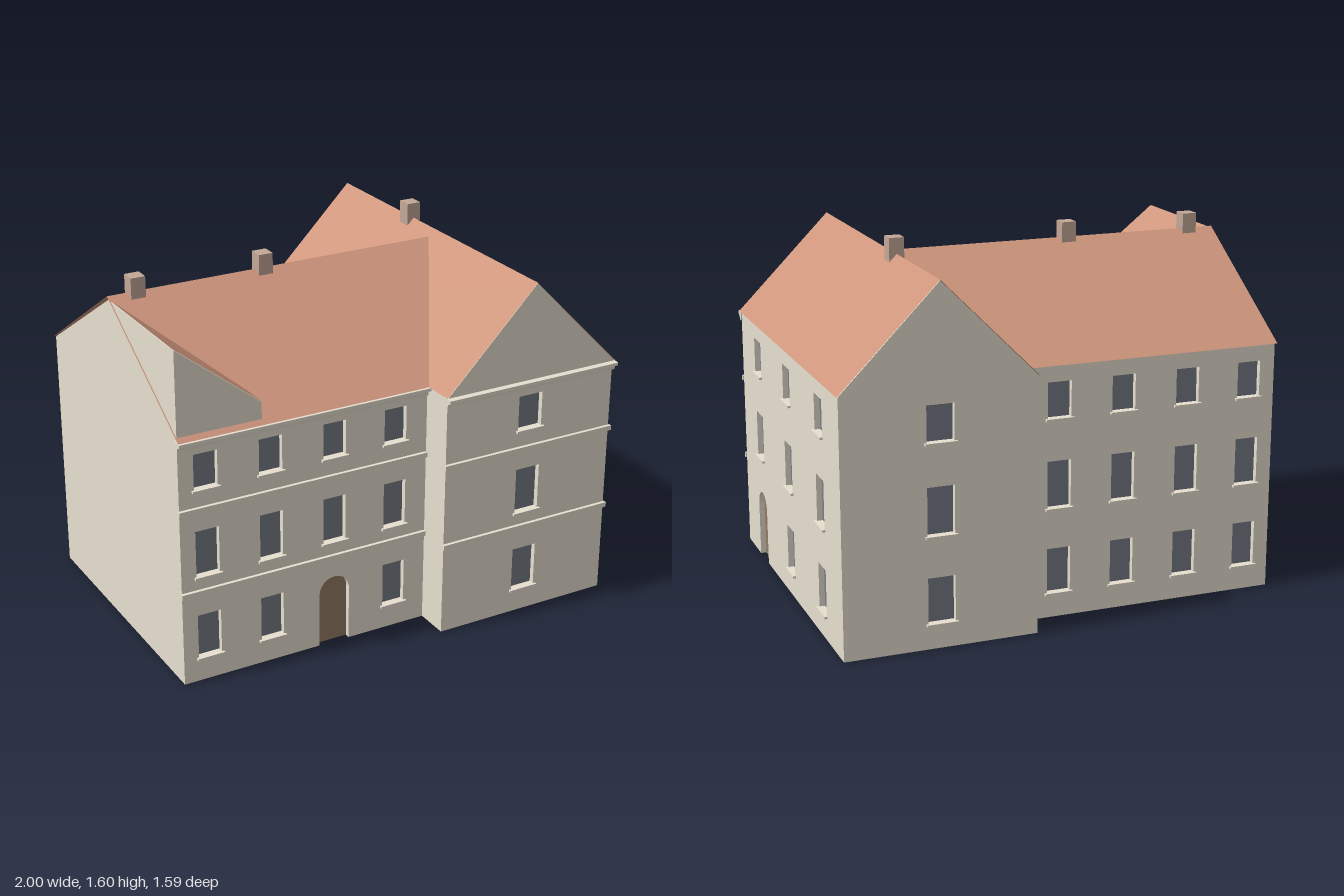
import * as THREE from 'three';

const mat = (name, color, side = THREE.FrontSide) => {
  const m = new THREE.MeshStandardMaterial({ color, side });
  m.name = name;
  return m;
};
const shapeOf = (points) => new THREE.Shape(points.map(([x, y]) => new THREE.Vector2(x, y)));
const extrude = (shape, depth) =>
  new THREE.ExtrudeGeometry(shape, { depth, bevelEnabled: false, curveSegments: 16 });

const T = 0.03; // wall thickness, also the depth of the window and door recesses
const BASE = 0.002; // walls start just above the floor plate
const ROWS = [[0.112, 0.309], [0.488, 0.693], [0.878, 1.033]]; // window bottoms and tops
const SPRING = 0.248; // height where door arches begin
const DOOR = 0.142; // door width
const E = 1.105; // eaves height
const RIDGE_X = 0.5695; // ridge of the cross wing

export function createModel() {
  const model = new THREE.Group();
  model.name = 'house';
  const plaster = mat('plaster', 0xe7e0d0);
  const tiles = mat('roofTiles', 0xce967c, THREE.DoubleSide);
  const glass = mat('windowGlass', 0x767c86);
  const wood = mat('doorWood', 0x947d64);
  const brick = mat('chimneyBrick', 0xc4a898);
  const stone = mat('floorStone', 0xaaaaaa);

  const add = (parent, name, geometry, material, x = 0, y = 0, z = 0) => {
    const mesh = new THREE.Mesh(geometry, material);
    mesh.name = name;
    mesh.position.set(x, y, z);
    parent.add(mesh);
    return mesh;
  };
  const box = (parent, name, material, w, h, d, x, y, z) =>
    add(parent, name, new THREE.BoxGeometry(w, h, d), material, x, y, z);

  // Adds an arched doorway to a path that runs along the ground
  const arch = (path, x) => {
    path.lineTo(x - DOOR / 2, BASE);
    path.lineTo(x - DOOR / 2, SPRING);
    path.absarc(x, SPRING, DOOR / 2, Math.PI, 0, true);
    path.lineTo(x + DOOR / 2, BASE);
  };

  // A wall with recessed openings; outer face at local z = 0, top listed from right to left
  function wall(name, top, { columns = [], width = 0.105, door = null, depth = T } = {}) {
    const group = new THREE.Group();
    group.name = name;
    model.add(group);
    const shape = new THREE.Shape();
    shape.moveTo(top[top.length - 1][0], BASE);
    if (door !== null) arch(shape, door);
    shape.lineTo(top[0][0], BASE);
    top.forEach(([x, y]) => shape.lineTo(x, y));

    for (const cx of columns) {
      ROWS.forEach(([b, t], row) => {
        if (row === 0 && cx === door) return;
        const l = cx - width / 2, r = cx + width / 2;
        const hole = new THREE.Path();
        hole.moveTo(l, b);
        hole.lineTo(l, t);
        hole.lineTo(r, t);
        hole.lineTo(r, b);
        hole.closePath();
        shape.holes.push(hole);
        box(group, 'windowPane', glass, width, t - b, 0.006, cx, (b + t) / 2, -T + 0.003);
        box(group, 'windowSill', plaster, width + 0.02, 0.01, 0.013, cx, b - 0.005, 0.0065);
      });
    }
    if (door !== null) {
      const leaf = new THREE.Shape();
      leaf.moveTo(door - DOOR / 2, BASE);
      arch(leaf, door);
      add(group, 'doorLeaf', extrude(leaf, 0.006), wood, 0, 0, -T);
    }
    add(group, 'wallPanel', extrude(shape, depth), plaster, 0, 0, -depth);
    return group;
  }
  const place = (group, x, z, turn) => {
    group.position.set(x, 0, z);
    group.rotation.y = turn;
  };

  // Main wing walls
  const cols = [-0.875, -0.585, -0.29, 0];
  place(wall('mainFrontWall', [[0.16, E], [-0.995, E]], { columns: cols, door: -0.29 }), 0, 0.605, 0);
  place(wall('mainBackWall', [[0.995, E], [-0.16, E]],
    { columns: cols.map((x) => -x) }), 0, -0.645, Math.PI);
  place(wall('mainEndWall', [[0.605, 1.486], [-0.02, 1.486], [-0.645, 1.108]],
    { depth: 0.004 }), -0.995, 0, -Math.PI / 2);

  // Cross wing walls
  place(wall('crossFrontWall', [[0.987, E], [0.152, E]],
    { columns: [RIDGE_X], width: 0.117 }), 0, 0.76, 0);
  place(wall('crossBackWall', [[-0.152, E], [-0.987, E]],
    { columns: [-RIDGE_X], width: 0.117 }), 0, -0.785, Math.PI);
  place(wall('crossSideWall', [[0.785, E], [-0.76, E]],
    { columns: [-0.48, 0.005, 0.495], width: 0.109, door: -0.48 }), 0.987, 0, Math.PI / 2);
  place(wall('crossInnerWall', [[0.76, E], [-0.785, E]]), 0.152, 0, -Math.PI / 2);

  // Gables of the cross wing, one prism just under the roof planes
  const gable = shapeOf([[0.147, 1.104], [0.992, 1.104], [RIDGE_X, 1.531]]);
  add(model, 'crossGables', extrude(gable, 1.567), plaster, 0, 0, -0.797);

  // Floor plate facing down, notched at the two doors
  const a = DOOR / 2;
  const plan = shapeOf([[-0.995, -0.645], [0.152, -0.645], [0.152, -0.785], [0.987, -0.785],
    [0.987, 0.48 - a], [0.987 - T, 0.48 - a], [0.987 - T, 0.48 + a], [0.987, 0.48 + a],
    [0.987, 0.76], [0.152, 0.76], [0.152, 0.605], [-0.29 + a, 0.605], [-0.29 + a, 0.605 - T],
    [-0.29 - a, 0.605 - T], [-0.29 - a, 0.605], [-0.995, 0.605]]);
  add(model, 'floor', new THREE.ShapeGeometry(plan).rotateX(Math.PI / 2), stone);

  // String courses and stepped cornices on the street side
  const profile = shapeOf([[-0.01, 1.065], [0.012, 1.065], [0.014, 1.08], [0.034, 1.09],
    [0.034, 1.103], [-0.01, 1.108]]);
  for (const [wing, x0, x1, z] of [['main', -1, 0.15, 0.605], ['cross', 0.145, 0.993, 0.76]]) {
    for (const y of [0.417, 0.79]) {
      box(model, wing + 'StringCourse', plaster, x1 - x0, 0.022, 0.015, (x0 + x1) / 2, y, z + 0.0075);
    }
    const cornice = add(model, wing + 'Cornice', extrude(profile, x1 - x0), plaster, x1, 0, z);
    cornice.rotation.y = -Math.PI / 2;
  }

  // A flat roof plane, always wound to face upwards
  function slope(name, corners) {
    const p = corners.map((c) => new THREE.Vector3(...c));
    const n = p[1].clone().sub(p[0]).cross(p[2].clone().sub(p[0]));
    if (n.y < 0) p.reverse();
    const points = [];
    for (let i = 1; i < p.length - 1; i++) points.push(p[0], p[i], p[i + 1]);
    const g = new THREE.BufferGeometry().setFromPoints(points);
    g.computeVertexNormals();
    add(model, name, g, tiles);
  }
  for (const [name, z] of [['mainFrontRoof', 0.63], ['mainBackRoof', -0.66]]) {
    slope(name, [[-1, E, z], [0.147, E, z], [0.542, 1.503, -0.02], [-1, 1.503, -0.02]]);
  }
  for (const [name, x] of [['crossInnerRoof', 0.144], ['crossOuterRoof', 0.995]]) {
    slope(name, [[x, E, 0.771], [x, E, -0.798], [RIDGE_X, 1.534, -0.798], [RIDGE_X, 1.534, 0.771]]);
  }

  // Half-gabled dormer at the end of the main wing
  slope('dormerRoof', [[-1, 1.495, -0.01], [-0.62, 1.195, 0.48], [-0.62, 1.195, 0.607], [-1, 1.495, 0.607]]);
  const dormer = shapeOf([[-0.995, 1.1], [-0.622, 1.1], [-0.622, 1.194], [-0.995, 1.488]]);
  add(model, 'dormerFront', extrude(dormer, T), plaster, 0, 0, 0.605 - T);
  const cheek = shapeOf([[-0.605, 1.1], [-0.46, 1.1], [-0.48, 1.194], [-0.605, 1.194]]);
  add(model, 'dormerCheek', extrude(cheek, T), plaster, -0.622 - T).rotation.y = Math.PI / 2;

  // Chimneys
  for (const [x, z, top] of [[-0.875, -0.018, 1.573], [-0.29, -0.018, 1.573], [RIDGE_X, -0.23, 1.602]]) {
    box(model, 'chimney', brick, 0.065, 0.13, 0.065, x, top - 0.065, z);
  }
  return model;
}
